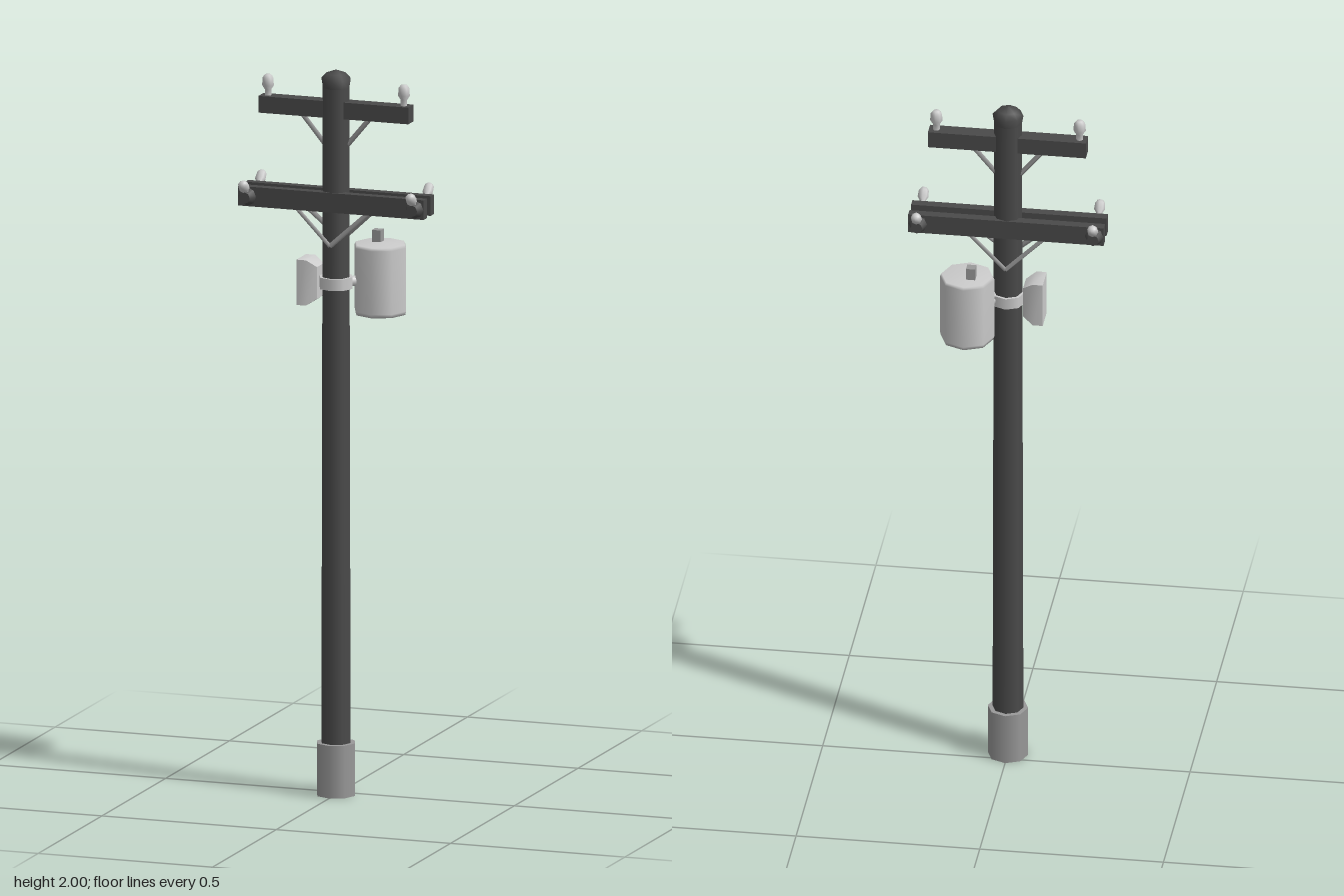
import * as THREE from 'three';

const POLE_Z = 0.031;
const dark = new THREE.MeshStandardMaterial({ color: 0x4a4a4a });
const mid = new THREE.MeshStandardMaterial({ color: 0x999999 });
const light = new THREE.MeshStandardMaterial({ color: 0xcccccc });

export function createModel() {
  const model = new THREE.Group();
  const assembly = new THREE.Group();
  assembly.name = 'utilityPole';
  assembly.position.z = POLE_Z; // everything below is relative to the pole axis
  model.add(assembly);

  const add = (name, geometry, material, x = 0, y = 0, z = 0) => {
    const mesh = new THREE.Mesh(geometry, material);
    mesh.name = name;
    mesh.position.set(x, y, z);
    assembly.add(mesh);
    return mesh;
  };
  const up = new THREE.Vector3(0, 1, 0);
  // Tapered cylinder running between two points
  const rod = (name, material, a, b, ra, rb, sides) => {
    const p = new THREE.Vector3(...a), q = new THREE.Vector3(...b);
    const dir = q.clone().sub(p);
    const mesh = add(name, new THREE.CylinderGeometry(rb, ra, dir.length(), sides), material);
    mesh.position.copy(p).add(q).multiplyScalar(0.5);
    mesh.quaternion.setFromUnitVectors(up, dir.normalize());
    return mesh;
  };
  // Bulbous insulator standing on its local origin
  const insulator = (name, height, radius) => new THREE.LatheGeometry(
    [[0.55, 0], [0.55, 0.3], [1, 0.5], [0.9, 0.85], [0.5, 1], [0, 1]]
      .map(([r, h]) => new THREE.Vector2(r * radius, h * height)), 8);

  // Pole with a domed cap and a concrete footing
  rod('pole', dark, [0, 0.1, 0], [0, 1.97, 0], 0.042, 0.038, 8);
  add('poleCap', new THREE.LatheGeometry(
    [[0.037, 1.945], [0.042, 1.975], [0.028, 1.99], [0, 2]]
      .map(([r, y]) => new THREE.Vector2(r, y)), 8), dark);
  add('footing', new THREE.CylinderGeometry(0.055, 0.055, 0.145, 8), mid, 0, 0.0725, 0);

  // Upper crossarm, single beam through the pole
  add('upperCrossarm', new THREE.BoxGeometry(0.43, 0.046, 0.042), dark, 0, 1.892, 0);
  // Lower crossarms, one on each face of the pole
  for (const f of [1, -1])
    add('lowerCrossarm', new THREE.BoxGeometry(0.532, 0.054, 0.025), dark, 0, 1.64, f * 0.0275);

  for (const s of [1, -1]) {
    add('upperInsulator', insulator('upper', 0.058, 0.017), light, s * 0.195, 1.914, 0);
    rod('upperBrace', mid, [s * 0.1, 1.875, 0], [s * 0.025, 1.785, 0], 0.007, 0.007, 4);
    for (const f of [1, -1]) {
      rod('lowerBrace', mid, [s * 0.105, 1.618, f * 0.028], [0, 1.522, f * 0.048], 0.007, 0.007, 4);
      // Side boss carrying an insulator that leans outward
      rod('insulatorBoss', dark, [s * 0.24, 1.64, f * 0.038], [s * 0.24, 1.64, f * 0.064], 0.026, 0.016, 8);
      const tilted = add('lowerInsulator', insulator('lower', 0.052, 0.015), light,
        s * 0.24, 1.649, f * 0.044);
      tilted.rotation.x = f * Math.PI / 4;
    }
  }

  // Transformer can with its terminal
  const can = new THREE.LatheGeometry(
    [[0, 1.32], [0.071, 1.32], [0.074, 1.33], [0.074, 1.505], [0.07, 1.513], [0, 1.515]]
      .map(([r, y]) => new THREE.Vector2(r, y)), 8);
  add('transformer', can, light, 0.1, 0, -0.075);
  add('terminal', new THREE.BoxGeometry(0.025, 0.04, 0.025), mid, 0.087, 1.527, -0.09);

  // Clamp around the pole, holding the transformer and the box
  add('clampBand', new THREE.CylinderGeometry(0.047, 0.047, 0.032, 8), light, 0, 1.414, 0);
  rod('transformerArm', light, [0.03, 1.414, -0.02], [0.08, 1.414, -0.06], 0.014, 0.014, 6);

  // Control box, its pole side drawn in slightly
  const boxGeo = new THREE.BoxGeometry(0.055, 0.125, 0.075, 2, 1, 1);
  const pos = boxGeo.attributes.position;
  for (let i = 0; i < pos.count; i++)
    if (pos.getX(i) > 0.02) {
      pos.setY(i, pos.getY(i) * 0.7);
      pos.setZ(i, pos.getZ(i) * 0.7);
    }
  boxGeo.computeVertexNormals();
  add('controlBox', boxGeo, light, -0.0725, 1.413, 0);

  return model;
}
